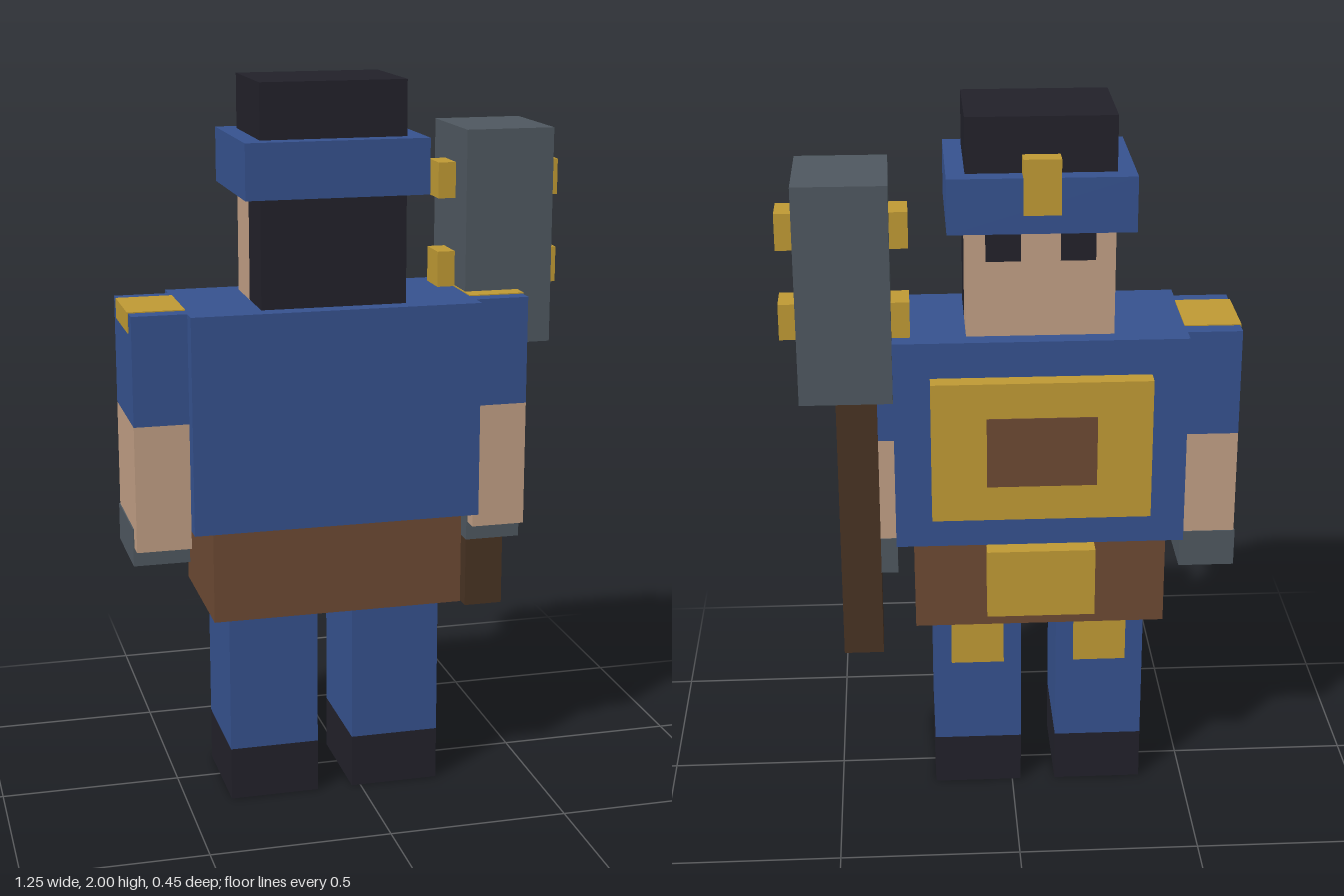
import * as THREE from 'three';

const material = (name, color) => {
  const m = new THREE.MeshStandardMaterial({ color });
  m.name = name;
  return m;
};

export function createModel() {
  const blue = material('blue cloth', 0x36528f);
  const skin = material('skin', 0xc2a085);
  const dark = material('near black', 0x22212a);
  const gold = material('gold', 0xc09a34);
  const steel = material('steel grey', 0x4f5860);
  const leather = material('brown leather', 0x6d4a33);
  const wood = material('dark wood', 0x493323);

  const model = new THREE.Group();
  model.name = 'hammerFigure';
  const group = (name) => {
    const g = new THREE.Group();
    g.name = name;
    model.add(g);
    return g;
  };

  // Box from its [min, max] extents; grow lifts a flush part clear of the face beneath
  const box = (parent, name, mat, [x0, x1], [y0, y1], [z0, z1], grow = 0) => {
    const g = 2 * grow;
    const mesh = new THREE.Mesh(new THREE.BoxGeometry(x1 - x0 + g, y1 - y0 + g, z1 - z0 + g), mat);
    mesh.position.set((x0 + x1) / 2, (y0 + y1) / 2, (z0 + z1) / 2);
    mesh.name = name;
    parent.add(mesh);
  };
  const LIFT = 0.003;
  const MID = -0.075; // centre line of the body
  const limbZ = [-0.125, 0.175];
  const bodyZ = [-0.175, 0.225];
  const wide = (half, centre = MID) => [centre - half, centre + half];

  // Legs with boots and knee patches
  for (const side of [-1, 1]) {
    const leg = group(side < 0 ? 'legA' : 'legB');
    const c = MID + side * 0.175;
    box(leg, 'boot', dark, wide(0.125, c), [0, 0.15], limbZ);
    box(leg, 'trouser', blue, wide(0.125, c), [0.15, 0.55], limbZ);
    box(leg, 'kneePatch', gold, wide(0.075, c), [0.4, 0.549], [-0.128, -0.124]);
  }

  // Body, belt and chest plate
  const body = group('body');
  box(body, 'belt', leather, wide(0.35), [0.55, 0.8], bodyZ);
  box(body, 'buckle', gold, wide(0.15), [0.6, 0.8], [-0.225, -0.175]);
  box(body, 'torso', blue, wide(0.4), [0.8, 1.4], bodyZ);
  box(body, 'chestPlate', gold, wide(0.3), [0.9, 1.3], [-0.225, -0.175]);
  box(body, 'chestPanel', leather, wide(0.15), [1.0, 1.2], [-0.228, -0.224]);

  // Arms with sleeves, hands and shoulder pads
  for (const side of [-1, 1]) {
    const arm = group(side < 0 ? 'freeArm' : 'hammerArm');
    const x = wide(0.075, MID + side * 0.475);
    box(arm, 'sleeve', blue, x, [1.1, 1.4], limbZ);
    box(arm, 'forearm', skin, x, [0.75, 1.1], limbZ);
    box(arm, 'glove', steel, x, [0.7, 0.8], [-0.125, 0.125], LIFT);
    box(arm, 'shoulderPad', gold, x, [1.35, 1.4], [-0.075, 0.125], LIFT);
  }

  // Head: face at the front half, hair behind, cap on top
  const head = group('head');
  box(head, 'face', skin, wide(0.2), [1.4, 1.7], [-0.125, 0.025]);
  box(head, 'hair', dark, wide(0.2), [1.4, 1.7], [0.025, 0.175]);
  box(head, 'capTop', dark, wide(0.2), [1.7, 2.0], limbZ);
  box(head, 'capBand', blue, wide(0.25), [1.7, 1.85], bodyZ);
  box(head, 'capBadge', gold, wide(0.05), [1.75, 1.9], [-0.178, -0.125]);
  for (const side of [-1, 1]) {
    box(head, 'eye', dark, wide(0.047, MID + side * 0.1), [1.61, 1.699], [-0.128, -0.124]);
  }

  // War hammer held upright
  const hammer = group('hammer');
  box(hammer, 'handle', wood, [0.375, 0.475], [0.45, 1.25], [-0.125, -0.025], 2 * LIFT);
  box(hammer, 'hammerHead', steel, [0.325, 0.575], [1.25, 1.85], [-0.225, 0.075]);
  for (const y of [1.45, 1.7]) {
    for (const x of [0.3, 0.6]) {
      box(hammer, 'stud', gold, wide(0.025, x), wide(0.05, y), [-0.125, -0.025]);
    }
  }

  return model;
}
